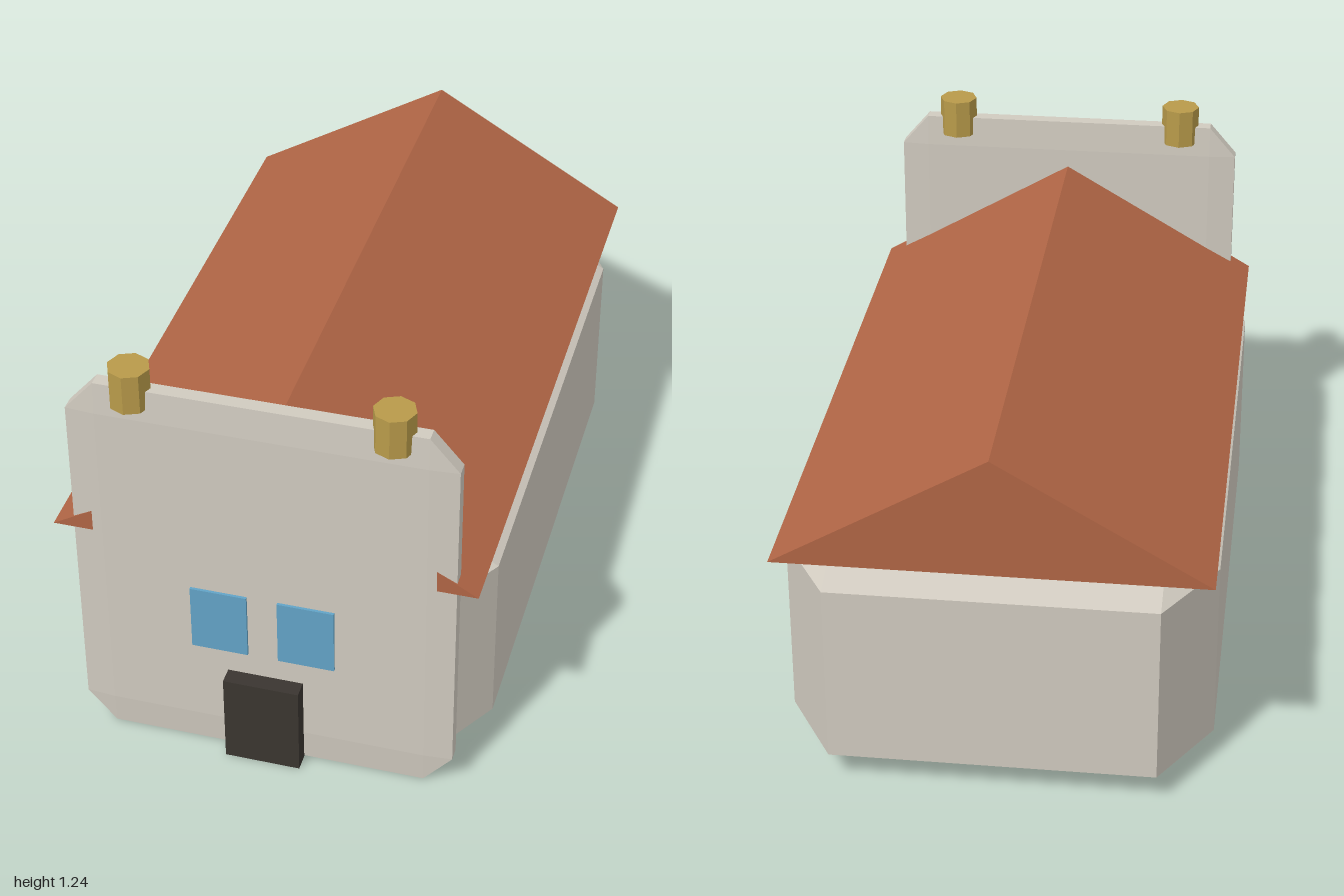
import * as THREE from 'three';
import { ConvexGeometry } from 'three/addons/geometries/ConvexGeometry.js';

const paint = (color) => new THREE.MeshStandardMaterial({ color, flatShading: true });

// Box with every edge and corner cut off; min, max and cut are [x, y, z].
function chamferedBox(min, max, cut) {
  const points = [];
  for (const sx of [0, 1]) for (const sy of [0, 1]) for (const sz of [0, 1]) {
    const s = [sx, sy, sz];
    for (let outer = 0; outer < 3; outer++) {
      const p = s.map((hi, i) => {
        const inset = i === outer ? 0 : cut[i];
        return hi ? max[i] - inset : min[i] + inset;
      });
      points.push(new THREE.Vector3(...p));
    }
  }
  return new ConvexGeometry(points);
}

export function createModel() {
  const group = new THREE.Group();
  const add = (name, geometry, material, x = 0, y = 0, z = 0) => {
    const mesh = new THREE.Mesh(geometry, material);
    mesh.name = name;
    mesh.position.set(x, y, z);
    group.add(mesh);
    return mesh;
  };

  const wall = paint(0xd0cabf);
  const roofPaint = paint(0xb06545);
  const glass = paint(0x62a3c6);
  const wood = paint(0x3a3530);
  const brass = paint(0xb89a4a);

  // Long hall with wide chamfers
  add('hall', chamferedBox([-0.585, 0, -1], [0.585, 0.69, 0.95], [0.14, 0.085, 0.235]), wall);

  // Tall thin front wall
  add('facade', chamferedBox([-0.525, 0, 0.9], [0.525, 1.175, 0.952], [0.08, 0.093, 0.006]), wall);

  // Gable roof: a solid triangular prism
  const gable = new THREE.Shape();
  gable.moveTo(-0.583, 0.688);
  gable.lineTo(0.583, 0.688);
  gable.lineTo(0, 1.027);
  gable.closePath();
  add('roof', new THREE.ExtrudeGeometry(gable, { depth: 1.95, bevelEnabled: false }), roofPaint, 0, 0, -1);

  // Door
  add('door', new THREE.BoxGeometry(0.212, 0.275, 0.05), wood, 0, 0.1375, 0.975);

  // Mirrored windows and facade posts
  for (const side of [-1, 1]) {
    const prefix = side > 0 ? 'left' : 'right';
    add(prefix + 'Window', new THREE.BoxGeometry(0.157, 0.2, 0.008), glass, side * 0.121, 0.46, 0.967);
    add(prefix + 'Post', new THREE.CylinderGeometry(0.057, 0.057, 0.115, 8), brass, side * 0.35, 1.1775, 0.927);
  }

  return group;
}
